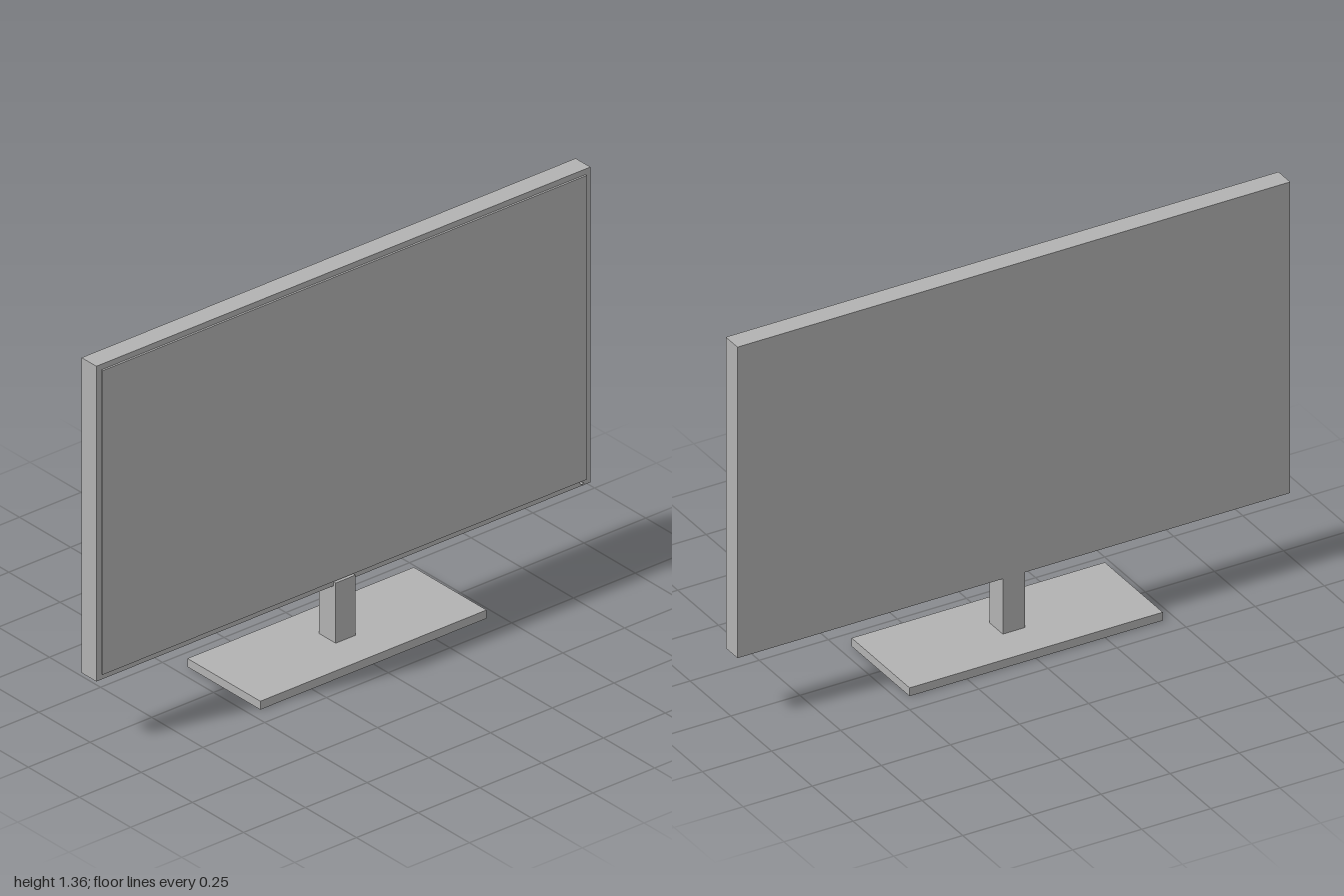
import * as THREE from 'three';

export function createModel() {
  const group = new THREE.Group();
  const grey = new THREE.MeshStandardMaterial({ color: 0xb2b2b2 });
  grey.name = 'grey';

  // Box given by its lowest and highest corners
  const box = (name, min, max) => {
    const size = max.map((v, i) => v - min[i]);
    const mesh = new THREE.Mesh(new THREE.BoxGeometry(...size), grey);
    mesh.position.set(...max.map((v, i) => (v + min[i]) / 2));
    mesh.name = name;
    group.add(mesh);
  };

  // Stand
  box('base', [-0.458, 0, -0.178], [0.458, 0.03, 0.178]);
  box('neck', [-0.04, 0.03, -0.041], [0.04, 0.245, 0.042]);

  // Display housing with a slightly raised screen panel
  box('housing', [-1, 0.23, -0.041], [1, 1.355, 0.031]);
  box('screen', [-0.98, 0.25, 0.031], [0.98, 1.335, 0.038]);

  // Power light in the lower corner of the bezel
  const light = new THREE.Mesh(new THREE.CylinderGeometry(0.004, 0.004, 0.014, 16), grey);
  light.rotation.x = Math.PI / 2;
  light.position.set(0.96, 0.243, 0.038);
  light.name = 'powerLight';
  group.add(light);

  return group;
}
